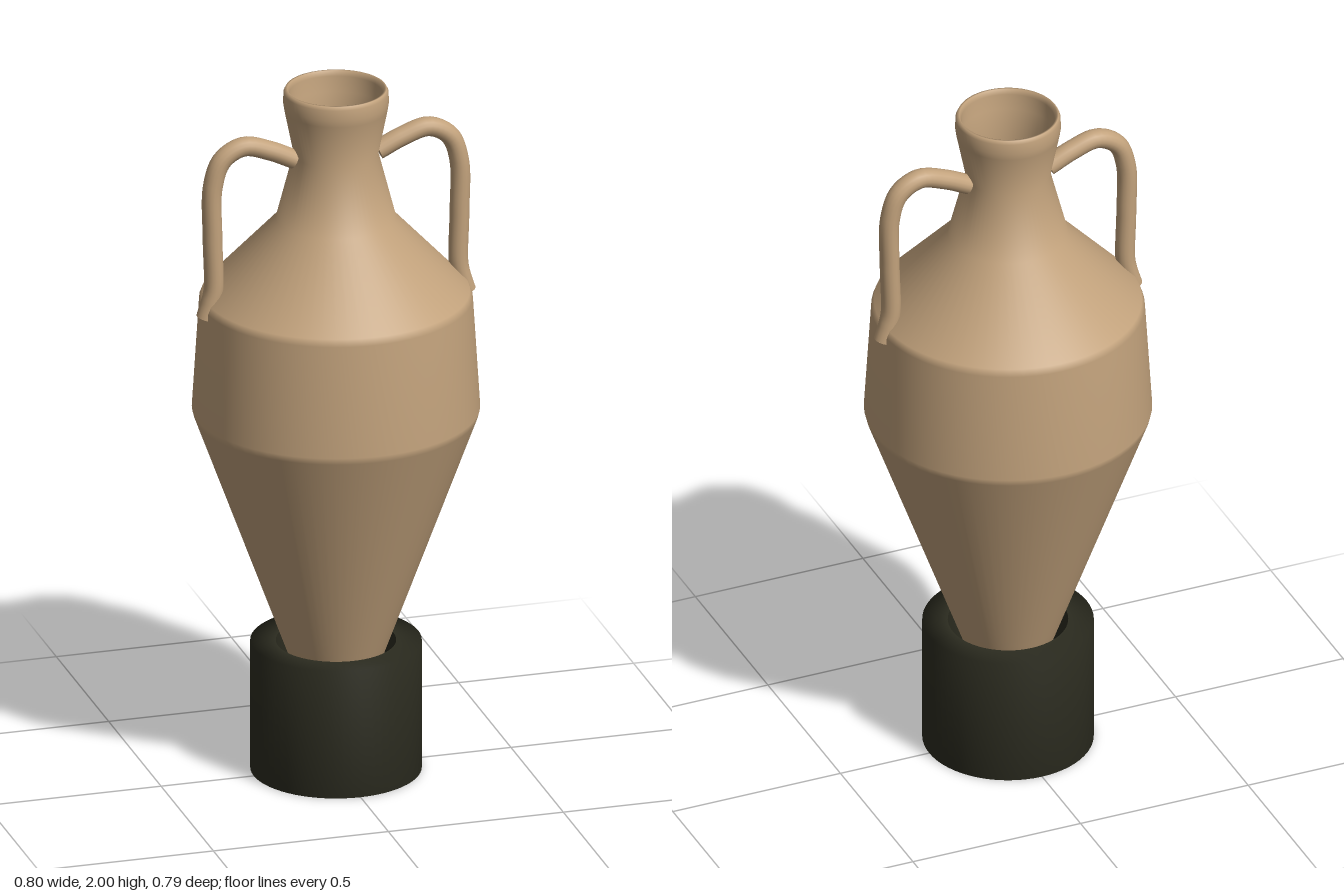
import * as THREE from 'three';

const clay = new THREE.MeshStandardMaterial({ color: 0xc2a27c, side: THREE.DoubleSide });
clay.name = 'clay';
const darkStand = new THREE.MeshStandardMaterial({ color: 0x2c2c20, side: THREE.DoubleSide });
darkStand.name = 'darkStand';

function lathe(name, profile, material) {
  const points = profile.map(([r, y]) => new THREE.Vector2(r, y));
  const mesh = new THREE.Mesh(new THREE.LatheGeometry(points, 64), material);
  mesh.name = name;
  return mesh;
}

// Round handle swept from the neck over to the shoulder, with flat end caps
function makeHandle(side) {
  const group = new THREE.Group();
  group.name = side > 0 ? 'leftHandle' : 'rightHandle';
  const path = new THREE.CatmullRomCurve3([
    [0.12, 1.805], [0.19, 1.838], [0.265, 1.858], [0.325, 1.825], [0.352, 1.75],
    [0.353, 1.6], [0.35, 1.45], [0.358, 1.41], [0.372, 1.365],
  ].map(([x, y]) => new THREE.Vector3(x * side, y, 0)));
  const radius = 0.027;
  const tube = new THREE.Mesh(new THREE.TubeGeometry(path, 48, radius, 16), clay);
  tube.name = 'handleTube';
  group.add(tube);
  for (const t of [0, 1]) {
    const cap = new THREE.Mesh(new THREE.CircleGeometry(radius, 16), clay);
    cap.name = 'handleEnd';
    const outward = path.getTangent(t).multiplyScalar(t ? 1 : -1);
    cap.position.copy(path.getPoint(t));
    cap.quaternion.setFromUnitVectors(new THREE.Vector3(0, 0, 1), outward);
    group.add(cap);
  }
  group.scale.z = 1.08;
  return group;
}

export function createModel() {
  const model = new THREE.Group();
  model.name = 'amphora';

  // Vessel: outer wall up to the lip, then the inner wall down to the floor
  model.add(lathe('vessel', [
    [0, 0.1], [0.045, 0.1], [0.145, 0.375], [0.39, 1.045], [0.395, 1.065],
    [0.375, 1.385], [0.367, 1.405], [0.165, 1.62], [0.116, 1.81],
    [0.142, 1.94], [0.145, 1.96], [0.144, 1.99], [0.139, 2],
    [0.133, 2], [0.128, 1.985], [0.126, 1.94], [0.101, 1.81], [0.148, 1.61],
    [0.35, 1.39], [0.375, 1.06], [0.13, 0.385], [0.06, 0.22], [0, 0.2],
  ], clay));

  for (const side of [1, -1]) model.add(makeHandle(side));

  // Hollow ring the pointed foot stands in
  model.add(lathe('ringStand', [
    [0.165, 0.375], [0.165, 0], [0.235, 0], [0.235, 0.375], [0.165, 0.375],
  ], darkStand));

  return model;
}
